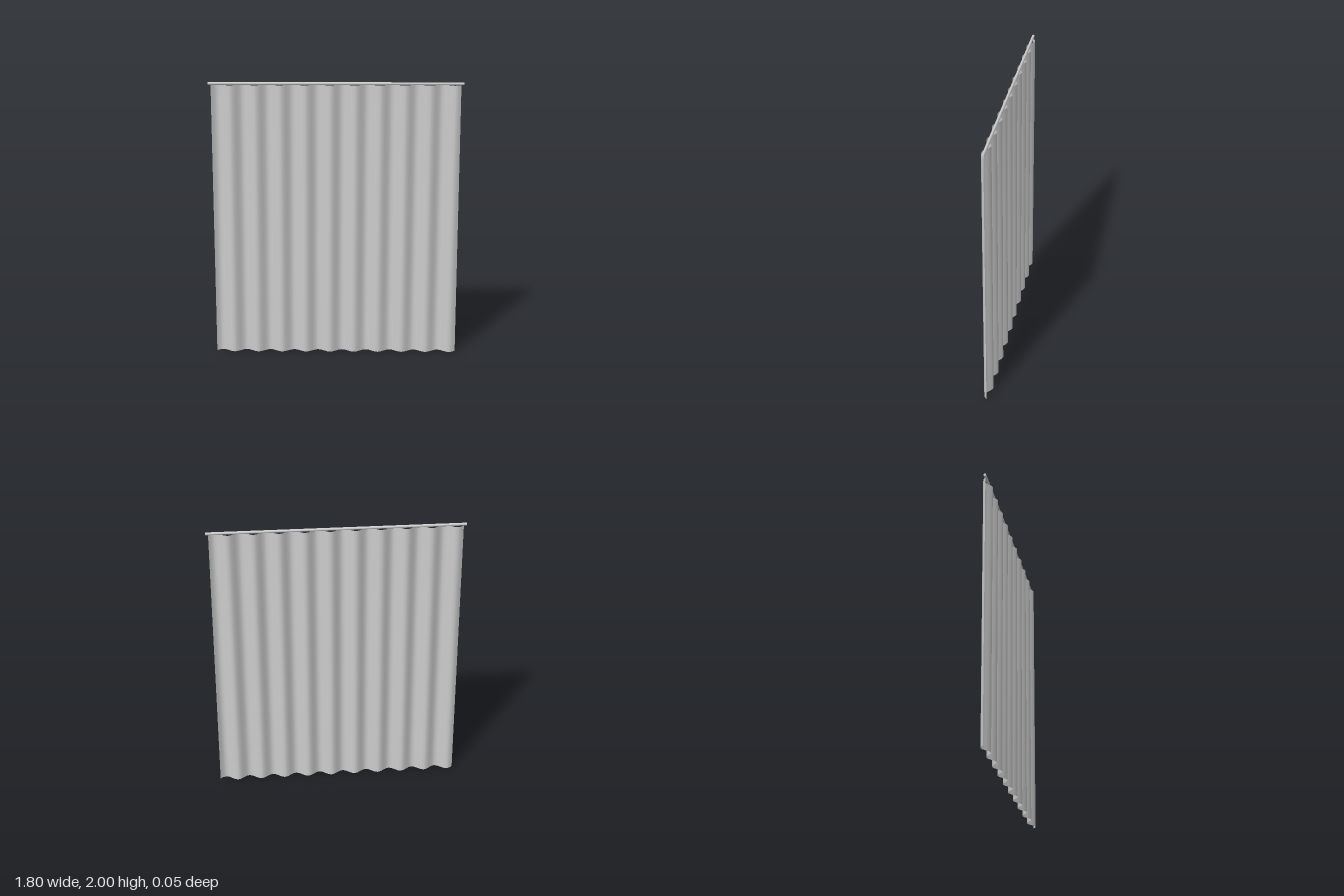
import * as THREE from 'three';

export function createModel() {
  const group = new THREE.Group();
  const fabric = new THREE.MeshStandardMaterial({ color: 0xcccccc, side: THREE.DoubleSide });
  fabric.name = 'pale grey';

  // Pleated curtain: a flat sheet bent into ten sine folds
  const width = 1.756, height = 1.98, folds = 10, depth = 0.025;
  const sheet = new THREE.PlaneGeometry(width, height, folds * 8, 1);
  const pos = sheet.attributes.position;
  for (let i = 0; i < pos.count; i++) {
    pos.setZ(i, -depth * Math.sin((pos.getX(i) / width) * folds * Math.PI * 2));
  }
  sheet.computeVertexNormals();
  const curtain = new THREE.Mesh(sheet, fabric);
  curtain.name = 'curtain';
  curtain.position.y = height / 2;
  group.add(curtain);

  // Round rail along the top
  const rail = new THREE.Mesh(new THREE.CylinderGeometry(0.01, 0.01, 1.796, 12), fabric);
  rail.name = 'curtainRail';
  rail.rotation.z = Math.PI / 2;
  rail.position.y = 1.99;
  group.add(rail);

  return group;
}
